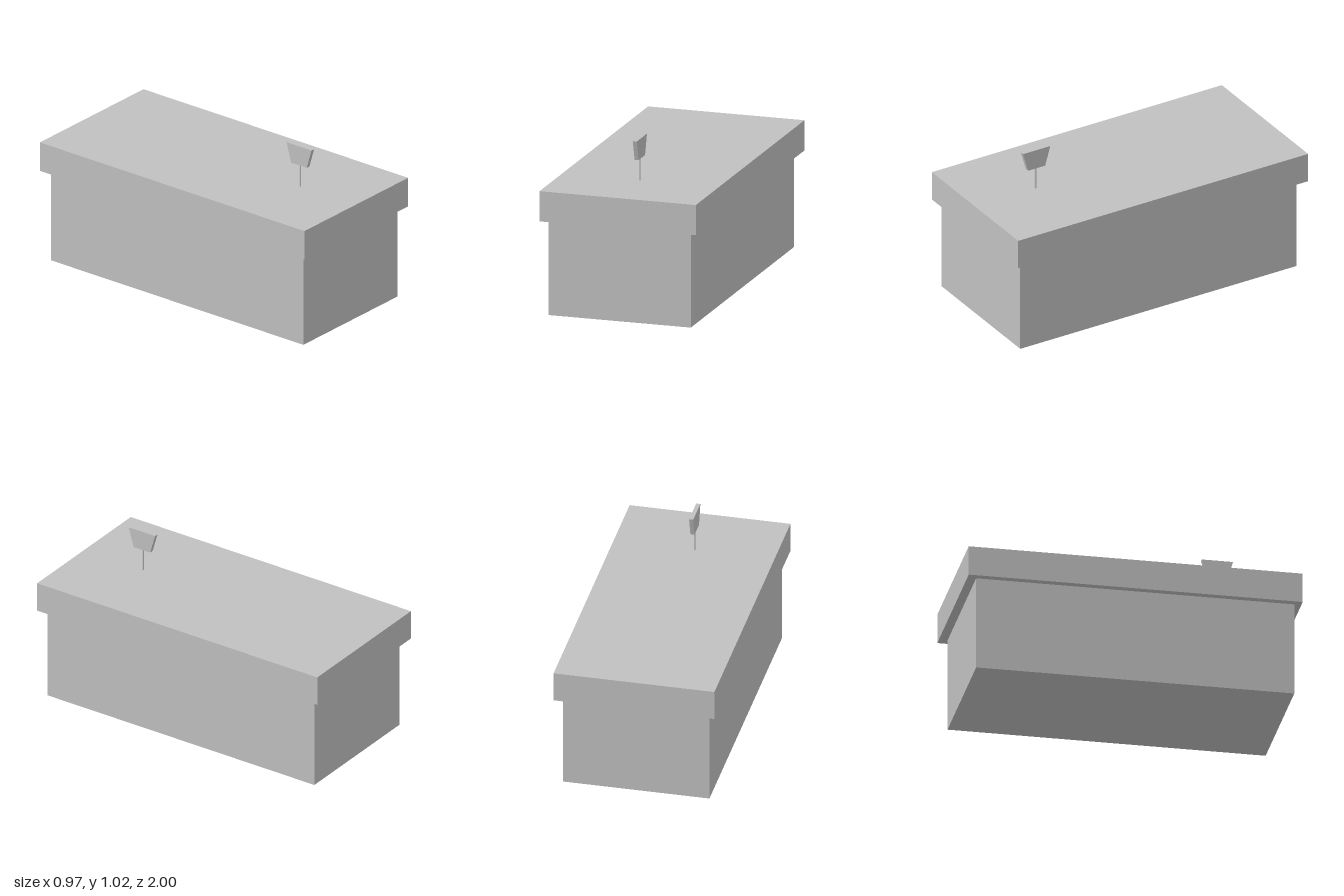
import * as THREE from 'three';

export function createModel() {
  const model = new THREE.Group();
  const grey = new THREE.MeshStandardMaterial({ color: 0xc0c0c0 });
  grey.name = 'light grey';

  const add = (name, geometry, x, y, z) => {
    const mesh = new THREE.Mesh(geometry, grey);
    mesh.name = name;
    mesh.position.set(x, y, z);
    model.add(mesh);
    return mesh;
  };

  // Main block and the wider slab resting on it
  add('body', new THREE.BoxGeometry(0.882, 0.578, 1.905), -0.002, 0.289, 0.005);
  add('topSlab', new THREE.BoxGeometry(0.97, 0.184, 2), 0, 0.67, 0);

  // Thin post holding the sign
  add('signPost', new THREE.CylinderGeometry(0.005, 0.005, 0.14, 12), -0.004, 0.832, 0.58);

  // Sign plate: a trapezoid, wider at the top, facing sideways
  const outline = new THREE.Shape([
    new THREE.Vector2(-0.059, 0),
    new THREE.Vector2(0.059, 0),
    new THREE.Vector2(0.094, 0.122),
    new THREE.Vector2(-0.094, 0.122),
  ]);
  const plate = new THREE.ExtrudeGeometry(outline, { depth: 0.025, bevelEnabled: false });
  plate.translate(0, 0, -0.0125);
  plate.rotateY(Math.PI / 2);
  add('signPlate', plate, -0.004, 0.901, 0.58);

  return model;
}
